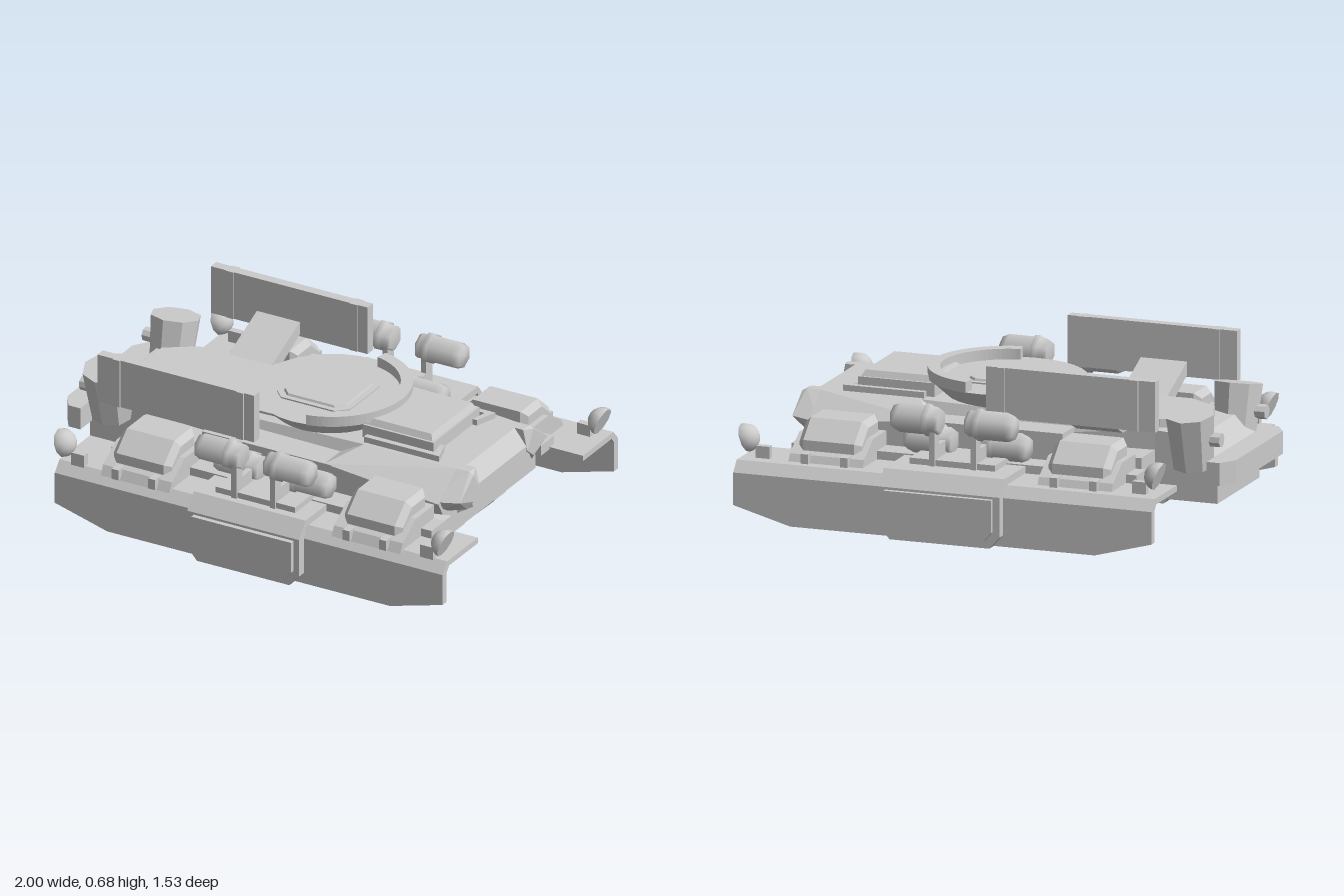
import * as THREE from 'three';
import { ConvexGeometry } from 'three/addons/geometries/ConvexGeometry.js';

const flat = new THREE.MeshStandardMaterial({ color: 0xcccccc, flatShading: true, side: THREE.DoubleSide });
const smooth = new THREE.MeshStandardMaterial({ color: 0xcccccc, side: THREE.DoubleSide });

function add(parent, name, geo, mat = flat) {
  const m = new THREE.Mesh(geo, mat);
  m.name = name;
  parent.add(m);
  return m;
}
const shape = pts => new THREE.Shape(pts.map(p => new THREE.Vector2(p[0], p[1])));

// Box given by its limits
function box(parent, name, x0, x1, y0, y1, z0, z1) {
  const g = new THREE.BoxGeometry(x1 - x0, y1 - y0, Math.abs(z1 - z0));
  return add(parent, name, g.translate((x0 + x1) / 2, (y0 + y1) / 2, (z0 + z1) / 2));
}
// Profile of (z, y) points run along x, with optional chamfered ends
function alongX(parent, name, pts, x0, x1, bevel = 0) {
  const g = new THREE.ExtrudeGeometry(shape(pts), {
    depth: x1 - x0 - 2 * bevel, bevelEnabled: bevel > 0, bevelSize: bevel,
    bevelThickness: bevel, bevelOffset: -bevel, bevelSegments: 1
  });
  return add(parent, name, g.rotateY(-Math.PI / 2).translate(x1 - bevel, 0, 0));
}
// Outline of (x, y) points run along z
function alongZ(parent, name, pts, z0, z1) {
  const g = new THREE.ExtrudeGeometry(shape(pts), { depth: Math.abs(z1 - z0), bevelEnabled: false });
  return add(parent, name, g.translate(0, 0, Math.min(z0, z1)));
}
// Outline of (x, z) points raised along y; the top can be inset
function slab(parent, name, pts, y0, y1, cx = 0, inset = 1) {
  const v = [];
  for (const [x, z] of pts) {
    v.push(new THREE.Vector3(x, y0, z), new THREE.Vector3(cx + (x - cx) * inset, y1, z * inset));
  }
  return add(parent, name, new ConvexGeometry(v));
}
// Convex block from sections [x, [[z, y], ...]]; signs gives the sides the points are put on
function sections(parent, name, list, signs = [1, -1]) {
  const v = [];
  for (const [x, pts] of list) for (const [z, y] of pts) for (const s of signs) v.push(new THREE.Vector3(x, y, z * s));
  return add(parent, name, new ConvexGeometry(v));
}
// Rectangle with cut corners
const cutRect = (x0, x1, w, c) => [
  [x0 + c, -w], [x1 - c, -w], [x1, -w + c], [x1, w - c],
  [x1 - c, w], [x0 + c, w], [x0, w - c], [x0, -w + c]
];

function addSkirt(parent, s) {
  const p = pts => pts.map(([z, y]) => [z * s, y]);
  alongX(parent, 'fenderShelf', p([[0.42, 0.225], [0.42, 0.25], [0.665, 0.25], [0.703, 0.205], [0.703, 0.18],
    [0.67, 0.18], [0.67, 0.2], [0.65, 0.225]]), -0.82, 0.985);
  alongZ(parent, 'sideSkirt', [[-0.82, 0.18], [-0.82, 0.07], [-0.575, 0.003], [0.74, 0.003], [0.985, 0.07], [0.985, 0.18]],
    0.67 * s, 0.703 * s);
  // Bulged centre section with its access plate
  alongX(parent, 'skirtHousing', p([[0.42, 0.25], [0.42, 0.28], [0.69, 0.28], [0.742, 0.215], [0.742, 0.17],
    [0.69, 0.17], [0.69, 0.25]]), -0.18, 0.34);
  alongZ(parent, 'skirtHousingWall', [[-0.18, 0.18], [-0.18, 0.05], [-0.135, 0], [0.295, 0], [0.34, 0.05], [0.34, 0.18]],
    0.69 * s, 0.742 * s);
  alongZ(parent, 'accessPlate', [[-0.15, 0.205], [-0.15, 0.07], [-0.12, 0.035], [0.285, 0.035], [0.315, 0.07], [0.315, 0.205]],
    0.742 * s, 0.763 * s);
}

function addCanister(parent, x, y, z, dir) {
  const pts = [[0, -0.1], [0.05, -0.1], [0.058, -0.085], [0.058, -0.06], [0.068, -0.06], [0.068, -0.035],
    [0.061, -0.035], [0.061, 0.075], [0.048, 0.105], [0, 0.11]].map(p => new THREE.Vector2(p[0], p[1]));
  const g = new THREE.LatheGeometry(pts, 6, Math.PI / 2).rotateZ(-dir * Math.PI / 2);
  add(parent, 'canister', g, smooth).position.set(x, y, z);
}

function addFenderGear(parent, s) {
  const p = pts => pts.map(([z, y]) => [z * s, y]);
  box(parent, 'fenderStep', -0.66, 0.83, 0.24, 0.285, 0.385 * s, 0.49 * s);
  for (const x of [-0.455, 0.62]) {
    // Sloped stowage locker with a raised lid and two hinges
    alongX(parent, 'lockerBase', p([[0.385, 0.24], [0.385, 0.345], [0.53, 0.345], [0.635, 0.28], [0.655, 0.24]]), x - 0.16, x + 0.16);
    alongX(parent, 'lockerLid', p([[0.39, 0.3], [0.39, 0.41], [0.53, 0.41], [0.615, 0.335], [0.615, 0.27]]), x - 0.135, x + 0.135, 0.025);
    for (const dx of [-0.085, 0.085]) box(parent, 'lockerHinge', x + dx - 0.016, x + dx + 0.016, 0.245, 0.29, 0.62 * s, 0.668 * s);
  }
  // Canisters, upper outer pair and lower inner pair
  for (const dir of [-1, 1]) {
    const x = 0.08 + dir * 0.158;
    addCanister(parent, x, 0.465, 0.607 * s, dir);
    addCanister(parent, x, 0.345, 0.455 * s, dir);
    box(parent, 'canisterPost', 0.08 + dir * 0.09 - 0.012, 0.08 + dir * 0.09 + 0.012, 0.27, 0.46, 0.58 * s, 0.63 * s);
    box(parent, 'canisterBrace', 0.08 + dir * 0.09 - 0.012, 0.08 + dir * 0.09 + 0.012, 0.27, 0.36, 0.41 * s, 0.6 * s);
  }
  box(parent, 'canisterTray', -0.1, 0.27, 0.26, 0.305, 0.4 * s, 0.62 * s);
  // Upright screen on a slanted arm
  box(parent, 'screen', -0.735, -0.005, 0.465, 0.675, 0.432 * s, 0.475 * s);
  for (const x of [-0.645, -0.07]) box(parent, 'screenRib', x - 0.017, x + 0.017, 0.465, 0.675, 0.428 * s, 0.481 * s);
  alongX(parent, 'screenArm', p([[0.2, 0.4], [0.2, 0.43], [0.435, 0.53], [0.435, 0.475], [0.28, 0.4]]), -0.52, -0.32);
  // Tilted lamps, flat face outward and down
  for (const [x, dir] of [[0.965, 1], [-0.8, -1]]) {
    const lamp = new THREE.Group();
    lamp.name = 'lamp';
    add(lamp, 'lampDome', new THREE.SphereGeometry(0.06, 10, 6, 0, Math.PI * 2, 0, Math.PI / 2), smooth);
    add(lamp, 'lampFace', new THREE.CircleGeometry(0.06, 10).rotateX(Math.PI / 2));
    lamp.position.set(x + dir * 0.01, 0.325, 0.627 * s);
    lamp.rotation.z = dir * 1.22;
    parent.add(lamp);
    const a = x - dir * 0.07;
    box(parent, 'lampBracket', a - 0.03, a + 0.03, 0.245, 0.3, 0.612 * s, 0.642 * s);
  }
}

export function createModel() {
  const model = new THREE.Group();
  model.name = 'armouredVehicle';
  for (const s of [1, -1]) addSkirt(model, s);

  const body = new THREE.Group();
  body.name = 'body';
  body.position.z = 0.033;
  model.add(body);
  for (const s of [1, -1]) addFenderGear(body, s);

  // Lower hull and its skids
  alongZ(body, 'lowerHull', [[-0.64, 0.28], [-0.64, 0.13], [-0.56, 0.05], [0.66, 0.05], [0.79, 0.165], [0.79, 0.245], [0.6, 0.28]], -0.408, 0.408);
  for (const s of [1, -1]) {
    alongZ(body, 'skid', [[-0.62, 0.1], [-0.54, 0.015], [0.64, 0.015], [0.77, 0.14], [0.66, 0.14]], 0.118 * s, 0.212 * s);
  }

  // Stepped deck and the nose with its chamfered cheeks
  box(body, 'lowerDeck', -0.64, 0.4, 0.25, 0.33, -0.385, 0.385);
  slab(body, 'sideDeck', [[-0.3, -0.385], [0.3, -0.385], [0.3, 0.385], [-0.3, 0.385]], 0.33, 0.4);
  sections(body, 'centreDeck', [
    [-0.64, [[0.235, 0.3], [0.235, 0.415]]],
    [-0.3, [[0.235, 0.3], [0.235, 0.43]]],
    [0.4, [[0.3, 0.3], [0.24, 0.45]]]
  ]);
  sections(body, 'nose', [
    [0.27, [[0.385, 0.25], [0.385, 0.4]]],
    [0.37, [[0.385, 0.25], [0.385, 0.35], [0.24, 0.45]]],
    [0.8, [[0.237, 0.235], [0.35, 0.29], [0.385, 0.35], [0.24, 0.45]]]
  ]);
  sections(body, 'noseFront', [
    [0.78, [[0.237, 0.235], [0.19, 0.45]]],
    [0.82, [[0.19, 0.45]]],
    [0.875, [[0.237, 0.295], [0.19, 0.38]]]
  ]);
  for (const s of [1, -1]) {
    sections(body, 'noseCheek', [
      [0.75, [[0.19, 0.27], [0.35, 0.29], [0.385, 0.35], [0.24, 0.45], [0.19, 0.45]]],
      [0.86, [[0.19, 0.45], [0.24, 0.45], [0.26, 0.29]]],
      [0.88, [[0.19, 0.36], [0.24, 0.44], [0.35, 0.36], [0.24, 0.32]]]
    ], [s]);
    // Angled guard beside the front deck box
    box(body, 'deckGuard', 0.36, 0.69, 0.44, 0.475, 0.2 * s, 0.225 * s);
    slab(body, 'deckGuardEnd', [[0.66, 0.13 * s], [0.68, 0.13 * s], [0.71, 0.225 * s], [0.68, 0.225 * s]], 0.44, 0.475);
  }
  slab(body, 'deckBox', [[0.33, -0.185], [0.66, -0.185], [0.66, 0.185], [0.33, 0.185]], 0.44, 0.505);
  slab(body, 'deckBoxLid', [[0.33, -0.175], [0.65, -0.175], [0.65, 0.175], [0.33, 0.175]], 0.505, 0.53, 0.49, 0.92);

  // Narrow rear block, deck panel and bumper
  sections(body, 'rearBlock', [
    [-0.91, [[0.235, 0.13], [0.235, 0.3]]],
    [-0.83, [[0.235, 0.4]]],
    [-0.58, [[0.235, 0.13], [0.235, 0.415]]]
  ]);
  slab(body, 'rearDeckPanel', [[-0.77, -0.1], [-0.64, -0.185], [0, -0.185], [0, 0.185], [-0.64, 0.185], [-0.77, 0.1]], 0.39, 0.445);
  slab(body, 'rearBumper', [[-1, -0.26], [-0.955, -0.328], [-0.9, -0.328], [-0.9, 0.328], [-0.955, 0.328], [-1, 0.26]], 0.23, 0.325);

  // Tilted exhaust drums
  for (const s of [1, -1]) {
    const drum = new THREE.Group();
    drum.name = 'exhaustDrum';
    add(drum, 'drumBody', new THREE.CylinderGeometry(0.105, 0.088, 0.23, 8));
    add(drum, 'drumStub', new THREE.CylinderGeometry(0.03, 0.03, 0.06, 8).rotateZ(Math.PI / 2)).position.set(-0.1, 0.005, 0);
    drum.position.set(-0.805, 0.395, 0.25 * s);
    drum.rotation.x = 0.2 * s;
    body.add(drum);
  }

  // Turret ring, hatch and curved shield
  add(body, 'turretRing', new THREE.CylinderGeometry(0.322, 0.24, 0.075, 32)).position.set(0.083, 0.4775, 0);
  slab(body, 'hatchBase', cutRect(-0.105, 0.235, 0.166, 0.045), 0.5, 0.521);
  slab(body, 'hatchLid', cutRect(-0.08, 0.21, 0.143, 0.035), 0.521, 0.53, 0.065, 0.97);
  const arc = new THREE.Shape();
  arc.absarc(0, 0, 0.325, -1.38, 1.38, false);
  arc.absarc(0, 0, 0.275, 1.38, -1.38, true);
  const shield = new THREE.ExtrudeGeometry(arc, { depth: 0.045, bevelEnabled: false, curveSegments: 20 });
  add(body, 'curvedShield', shield.rotateX(-Math.PI / 2)).position.set(0.083, 0.514, 0);

  return model;
}
